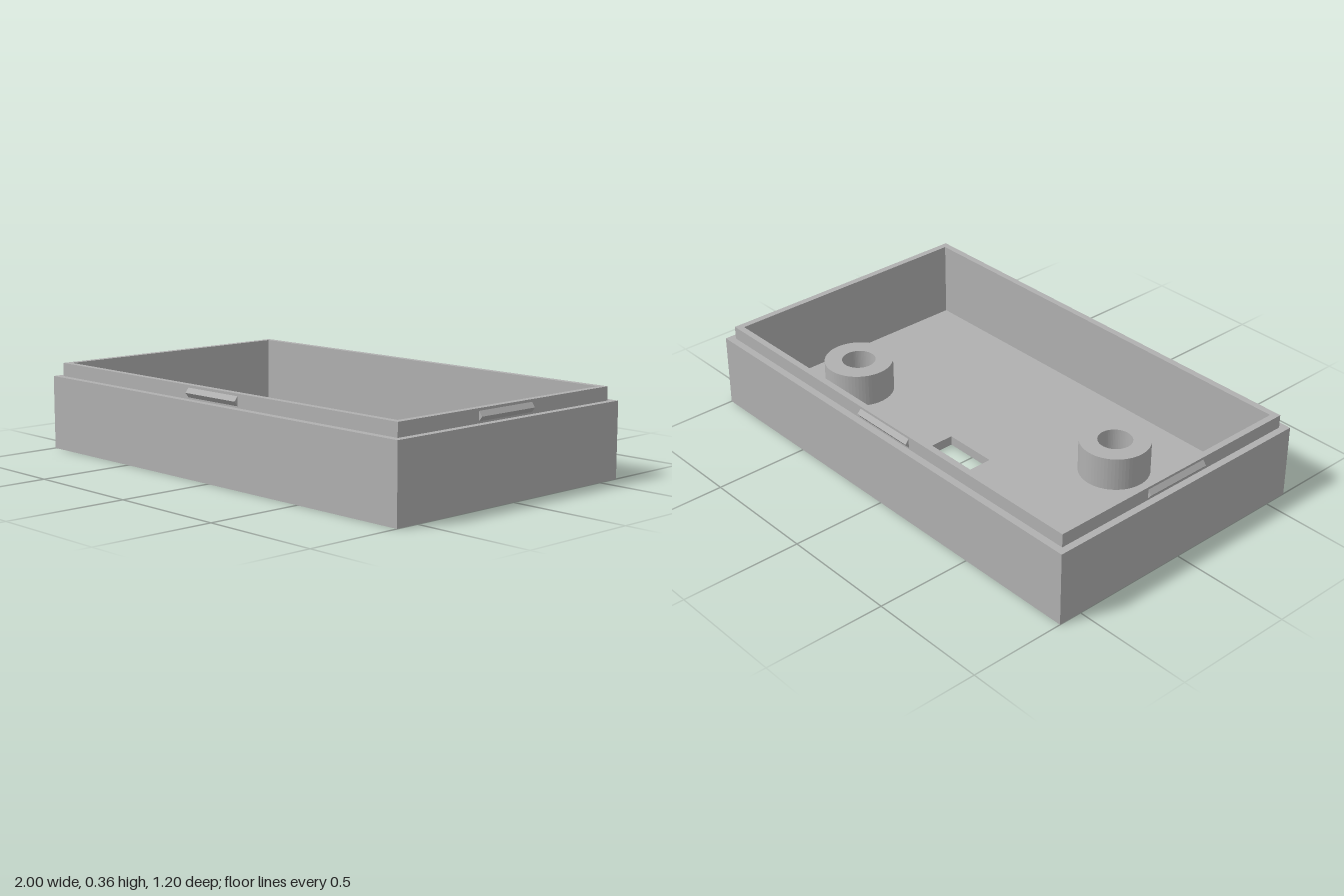
import * as THREE from 'three';

const plastic = new THREE.MeshStandardMaterial({ color: 0xb0b0b0 });
plastic.name = 'grey plastic';

// Rectangle outline in plan; z is negated because the extrusion is tipped upright
const rect = (Type, x0, x1, z0, z1) => new Type([
  new THREE.Vector2(x0, -z1), new THREE.Vector2(x1, -z1),
  new THREE.Vector2(x1, -z0), new THREE.Vector2(x0, -z0),
]);

// Extrude a plan outline with holes from height y0 to y1
function slab(name, outline, holes, y0, y1, curveSegments = 12) {
  outline.holes.push(...holes);
  const geo = new THREE.ExtrudeGeometry(outline, { depth: y1 - y0, bevelEnabled: false, curveSegments });
  geo.rotateX(-Math.PI / 2).translate(0, y0, 0);
  const mesh = new THREE.Mesh(geo, plastic);
  mesh.name = name;
  return mesh;
}

export function createModel() {
  const model = new THREE.Group();
  model.name = 'enclosureHalf';
  const W = 1, D = 0.6;              // outer half sizes
  const lipW = 0.971, lipD = 0.57;   // lip half sizes
  const inW = 0.944, inD = 0.543;    // cavity half sizes
  const floorY = 0.04, wallY = 0.305, topY = 0.36;
  const cavity = () => rect(THREE.Path, -inW, inW, -inD, inD);

  // Floor with long slot and small window
  model.add(slab('floor', rect(THREE.Shape, -W, W, -D, D), [
    rect(THREE.Path, -0.935, -0.69, -0.525, 0.51),
    rect(THREE.Path, -0.105, 0.127, -0.285, -0.13),
  ], 0, floorY));

  // Walls and the stepped lip above them
  model.add(slab('walls', rect(THREE.Shape, -W, W, -D, D), [cavity()], floorY, wallY));
  model.add(slab('lip', rect(THREE.Shape, -lipW, lipW, -lipD, lipD), [cavity()], wallY, topY));

  // Hollow screw posts
  for (const [x, z] of [[-0.48, 0.19], [0.67, -0.17]]) {
    const ring = new THREE.Shape().absarc(x, -z, 0.143, 0, Math.PI * 2);
    const bore = new THREE.Path().absarc(x, -z, 0.07, 0, Math.PI * 2);
    model.add(slab('screwPost', ring, [bore], floorY, 0.18, 32));
  }

  // Triangular snap ridges on the four sides of the lip
  const length = 0.288;
  const profile = new THREE.Shape([
    new THREE.Vector2(0, 0.312), new THREE.Vector2(0.015, 0.331), new THREE.Vector2(0, 0.35),
  ]);
  const ridges = [
    [-0.003, lipD, -Math.PI / 2], [-0.003, -lipD, Math.PI / 2],
    [lipW, 0.017, 0], [-lipW, -0.003, Math.PI],
  ];
  for (const [x, z, turn] of ridges) {
    const geo = new THREE.ExtrudeGeometry(profile, { depth: length, bevelEnabled: false });
    geo.translate(0, 0, -length / 2);
    const ridge = new THREE.Mesh(geo, plastic);
    ridge.name = 'snapRidge';
    ridge.position.set(x, 0, z);
    ridge.rotation.y = turn;
    model.add(ridge);
  }
  return model;
}
